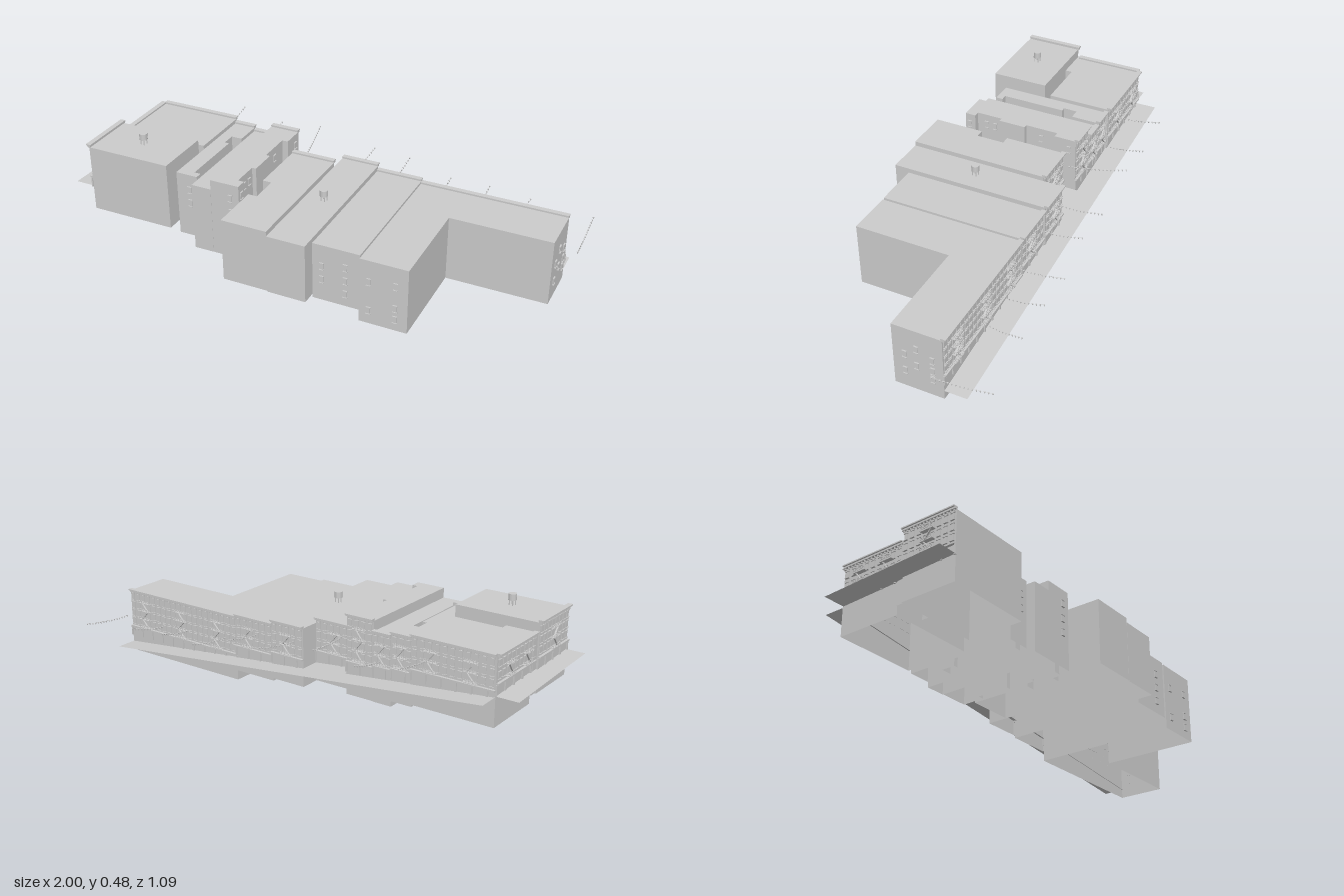
import * as THREE from 'three';

const mat = new THREE.MeshStandardMaterial({ color: 0xcccccc, side: THREE.DoubleSide, flatShading: true });
const unitBox = new THREE.BoxGeometry(1, 1, 1);
const BASE_ANGLE = 0.158; // the block is turned slightly from the x axis

function mesh(parent, name, geo, x = 0, y = 0, z = 0) {
  const m = new THREE.Mesh(geo, mat);
  m.name = name;
  m.position.set(x, y, z);
  parent.add(m);
  return m;
}

function box(parent, name, w, h, d, x, y, z) {
  const m = mesh(parent, name, unitBox, x, y, z);
  m.scale.set(w, h, d);
  return m;
}

function group(parent, name) {
  const g = new THREE.Group();
  g.name = name;
  parent.add(g);
  return g;
}

// Street height falls along the block
const street = x => 0.232 - (x + 0.9) * 0.1025;

// Open-bottomed shell: one wall per outline edge plus a flat roof
function shell(parent, name, pts, y0, y1) {
  const g = group(parent, name);
  pts.forEach(([x, z], i) => {
    const [x2, z2] = pts[(i + 1) % pts.length];
    const wall = mesh(g, 'wall', new THREE.PlaneGeometry(Math.hypot(x2 - x, z2 - z), y1 - y0),
      (x + x2) / 2, (y0 + y1) / 2, (z + z2) / 2);
    wall.rotation.y = Math.atan2(-(z2 - z), x2 - x);
  });
  const roof = mesh(g, 'roof', new THREE.ShapeGeometry(new THREE.Shape(pts.map(([x, z]) => new THREE.Vector2(x, -z)))), 0, y1, 0);
  roof.rotation.x = -Math.PI / 2;
  return g;
}

const rect = (x0, x1, z0, z1) => [[x0, z1], [x1, z1], [x1, z0], [x0, z0]];

// Frame lying on a wall: x along the wall, z outward
function wallFrame(parent, name, x, z, turn) {
  const g = group(parent, name);
  g.position.set(x, 0, z);
  g.rotation.y = turn;
  return g;
}

function windowUnit(g, x, y) {
  box(g, 'window', 0.014, 0.026, 0.003, x, y, 0.0015);
  box(g, 'sill', 0.019, 0.003, 0.008, x, y - 0.0145, 0.003);
  box(g, 'lintel', 0.019, 0.004, 0.006, x, y + 0.0145, 0.003);
}

// Balconies with rails joined by sloping ladders
function fireEscape(g, x, levels) {
  levels.forEach((y, i) => {
    box(g, 'landing', 0.06, 0.002, 0.018, x, y, 0.009);
    for (const h of [0.007, 0.013]) box(g, 'rail', 0.06, 0.0012, 0.0012, x, y + h, 0.018);
    for (let k = -2; k <= 2; k++) box(g, 'railPost', 0.0012, 0.013, 0.0012, x + k * 0.0147, y + 0.0065, 0.018);
    if (i) {
      const h = y - levels[i - 1];
      const ladder = box(g, 'stair', 0.003, Math.hypot(h, 0.035), 0.007, x, y - h / 2, 0.011);
      ladder.rotation.z = Math.atan2(0.035, h) * (i % 2 ? 1 : -1);
    }
  });
}

// Street front: shop band, rows of windows, cornice and fire escapes
function facade(parent, name, x, z, turn, width, ground, top, escapes) {
  const g = wallFrame(parent, name, x, z, turn);
  const floors = Math.max(2, Math.round((top - ground - 0.05) / 0.046));
  const pitch = (top - ground - 0.06) / floors;
  const levels = Array.from({ length: floors }, (_, i) => ground + 0.052 + (i + 0.5) * pitch);
  const count = Math.max(2, Math.round(width / 0.032));
  for (const y of levels)
    for (let i = 0; i < count; i++) windowUnit(g, (i + 0.5) * width / count, y);
  box(g, 'shopBand', width, 0.007, 0.011, width / 2, ground + 0.045, 0.0055);
  for (let i = 0; i <= count; i += 2) box(g, 'shopPier', 0.007, 0.042, 0.006, i * width / count, ground + 0.021, 0.003);
  // Stepped cornice and brackets
  box(g, 'corniceTop', width, 0.005, 0.022, width / 2, top + 0.006, 0.005);
  box(g, 'corniceBase', width, 0.007, 0.014, width / 2, top, 0.003);
  for (let i = 0; i < count * 2; i++)
    box(g, 'bracket', 0.004, 0.008, 0.008, (i + 0.5) * width / count / 2, top - 0.007, 0.004);
  for (const e of escapes) fireEscape(g, e * width, levels.map(y => y - 0.017));
}

function waterTank(parent, x, y, z) {
  const g = group(parent, 'waterTank');
  mesh(g, 'tank', new THREE.CylinderGeometry(0.017, 0.017, 0.027, 16), x, y + 0.036, z);
  for (let i = 0; i < 4; i++) {
    const a = i * Math.PI / 2 + Math.PI / 4;
    box(g, 'tankLeg', 0.003, 0.024, 0.003, x + Math.cos(a) * 0.012, y + 0.012, z + Math.sin(a) * 0.012);
  }
}

// Sagging line of small hanging flags over the street
function pennants(parent, x0, z0, x1, z1, yEnd) {
  const g = group(parent, 'pennantString');
  const curve = new THREE.QuadraticBezierCurve3(
    new THREE.Vector3(x0, yEnd - 0.028, z0),
    new THREE.Vector3((x0 + x1) / 2, yEnd - 0.025, (z0 + z1) / 2),
    new THREE.Vector3(x1, yEnd, z1));
  mesh(g, 'string', new THREE.TubeGeometry(curve, 10, 0.0005, 4));
  const n = Math.round(curve.getLength() / 0.016);
  const flag = new THREE.ConeGeometry(0.0042, 0.009, 4);
  for (let i = 0; i <= n; i++) {
    const p = curve.getPoint(i / n);
    mesh(g, 'pennant', flag, p.x, p.y - 0.004, p.z).rotation.x = Math.PI;
  }
}

export function createModel() {
  const root = new THREE.Group();
  root.name = 'cityBlock';
  const block = group(root, 'block');
  block.rotation.y = BASE_ANGLE;

  // Buildings from left end to right end, with light wells cut into some sides
  shell(block, 'cornerFrontBuilding', rect(-0.907, -0.536, 0.14, 0.388), 0.145, 0.435);
  shell(block, 'cornerBackBuilding', rect(-0.895, -0.53, -0.17, 0.11), 0.11, 0.395);
  shell(block, 'cornerLink', rect(-0.9, -0.764, 0.11, 0.14), 0.145, 0.395);
  shell(block, 'narrowBuilding', [[-0.528, 0.33], [-0.432, 0.33], [-0.432, 0.3], [-0.46, 0.3], [-0.46, 0.02],
    [-0.48, 0.02], [-0.48, -0.04], [-0.432, -0.04], [-0.432, -0.158], [-0.528, -0.158]], 0.095, 0.38);
  shell(block, 'slimBuilding', rect(-0.432, -0.345, -0.155, 0.371), 0.07, 0.365);
  shell(block, 'tallBuilding', [[-0.345, 0.37], [-0.217, 0.37], [-0.217, 0.324], [-0.243, 0.324], [-0.243, 0.21],
    [-0.225, 0.21], [-0.225, 0.09], [-0.243, 0.09], [-0.243, -0.054], [-0.217, -0.054], [-0.217, -0.152], [-0.345, -0.152]], 0.07, 0.408);
  shell(block, 'longBuilding', [[-0.217, 0.513], [-0.02, 0.513], [-0.02, -0.095], [-0.217, -0.095], [-0.217, 0.17],
    [-0.178, 0.17], [-0.178, 0.293], [-0.217, 0.293]], 0.063, 0.335);
  shell(block, 'middleBuilding', rect(-0.02, 0.145, -0.18, 0.514), 0.06, 0.315);
  shell(block, 'lowBuilding', rect(0.145, 0.345, -0.172, 0.451), 0.045, 0.295);
  shell(block, 'angledBuilding', [[0.345, 0.457], [0.545, 0.457], [0.545, 0.04], [0.973, 0.04], [0.973, -0.168], [0.345, -0.168]], 0, 0.285);

  // Back street fronts: left edge, right edge, depth, top, fire escapes
  const fronts = [
    [-0.895, -0.53, -0.17, 0.395, [0.25, 0.72]], [-0.528, -0.432, -0.158, 0.38, [0.5]],
    [-0.432, -0.345, -0.155, 0.365, [0.5]], [-0.345, -0.217, -0.152, 0.408, [0.5]],
    [-0.217, -0.02, -0.095, 0.335, [0.5]], [-0.02, 0.145, -0.18, 0.315, [0.5]],
    [0.145, 0.345, -0.172, 0.295, [0.35]], [0.345, 0.973, -0.168, 0.285, [0.15, 0.5, 0.83]],
  ];
  for (const [x0, x1, z, top, escapes] of fronts)
    facade(block, 'backFacade', x1, z, Math.PI, x1 - x0, street((x0 + x1) / 2), top, escapes);

  // Side street fronts
  facade(block, 'sideFacadeBack', -0.896, -0.17, -Math.PI / 2, 0.3, 0.24, 0.395, [0.3, 0.75]);
  facade(block, 'sideFacadeFront', -0.907, 0.135, -Math.PI / 2, 0.253, 0.25, 0.438, [0.5]);

  // Scattered windows on the plain walls: frame position, turn, spots
  const plain = [
    [0.345, 0.457, 0, [[0.04, 0.06], [0.04, 0.19], [0.15, 0.05], [0.15, 0.1], [0.15, 0.2]]],
    [0.145, 0.451, 0, [[0.04, 0.14], [0.04, 0.2], [0.14, 0.1], [0.14, 0.16], [0.14, 0.22]]],
    [-0.528, 0.33, 0, [[0.06, 0.25], [0.06, 0.31]]],
    [-0.345, 0.37, 0, [[0.09, 0.22], [0.09, 0.28], [0.09, 0.345]]],
    [0.973, 0.04, Math.PI / 2, [[0.05, 0.08], [0.05, 0.16], [0.1, 0.12], [0.1, 0.2], [0.165, 0.08], [0.165, 0.12], [0.165, 0.17]]],
    [-0.217, 0.37, Math.PI / 2, [[0.02, 0.36], [0.49, 0.36]]],
    [-0.243, 0.32, Math.PI / 2, [[0.04, 0.36], [0.08, 0.36], [0.3, 0.36]]],
  ];
  for (const [x, z, turn, spots] of plain) {
    const g = wallFrame(block, 'plainWallWindows', x, z, turn);
    for (const [a, y] of spots) windowUnit(g, a, y);
  }

  // Pavements: sloping strip at the back, yard by the recessed front, strip at the side
  function pavement(name, x0, x1, z0, z1, height) {
    const geo = new THREE.PlaneGeometry(x1 - x0, z1 - z0).rotateX(-Math.PI / 2).translate((x0 + x1) / 2, 0, (z0 + z1) / 2);
    const p = geo.attributes.position;
    for (let i = 0; i < p.count; i++) p.setY(i, height(p.getX(i), p.getZ(i)));
    geo.computeVertexNormals();
    mesh(block, name, geo);
  }
  pavement('backPavement', -0.893, 0.973, -0.262, -0.165, street);
  pavement('yardPavement', -0.217, -0.02, -0.165, -0.095, street);
  pavement('sidePavement', -0.99, -0.895, -0.167, 0.388, (x, z) => 0.235 + (z + 0.167) * 0.035);

  // Roof tanks
  waterTank(root, -0.67, 0.435, 0.375);
  waterTank(root, 0.09, 0.315, 0.165);

  // Flag lines: start x, z, end x, z, end height
  const strings = [
    [-0.63, -0.09, -0.66, -0.28, 0.345], [-0.455, -0.16, -0.47, -0.31, 0.31], [-0.2, -0.11, -0.28, -0.34, 0.33],
    [-0.005, -0.19, -0.02, -0.385, 0.28], [0.17, -0.24, 0.15, -0.4, 0.275], [0.36, -0.25, 0.335, -0.44, 0.215],
    [0.53, -0.32, 0.51, -0.465, 0.22], [0.68, -0.34, 0.69, -0.49, 0.205], [0.99, -0.31, 0.95, -0.55, 0.175],
  ];
  for (const s of strings) pennants(root, ...s);
  return root;
}
